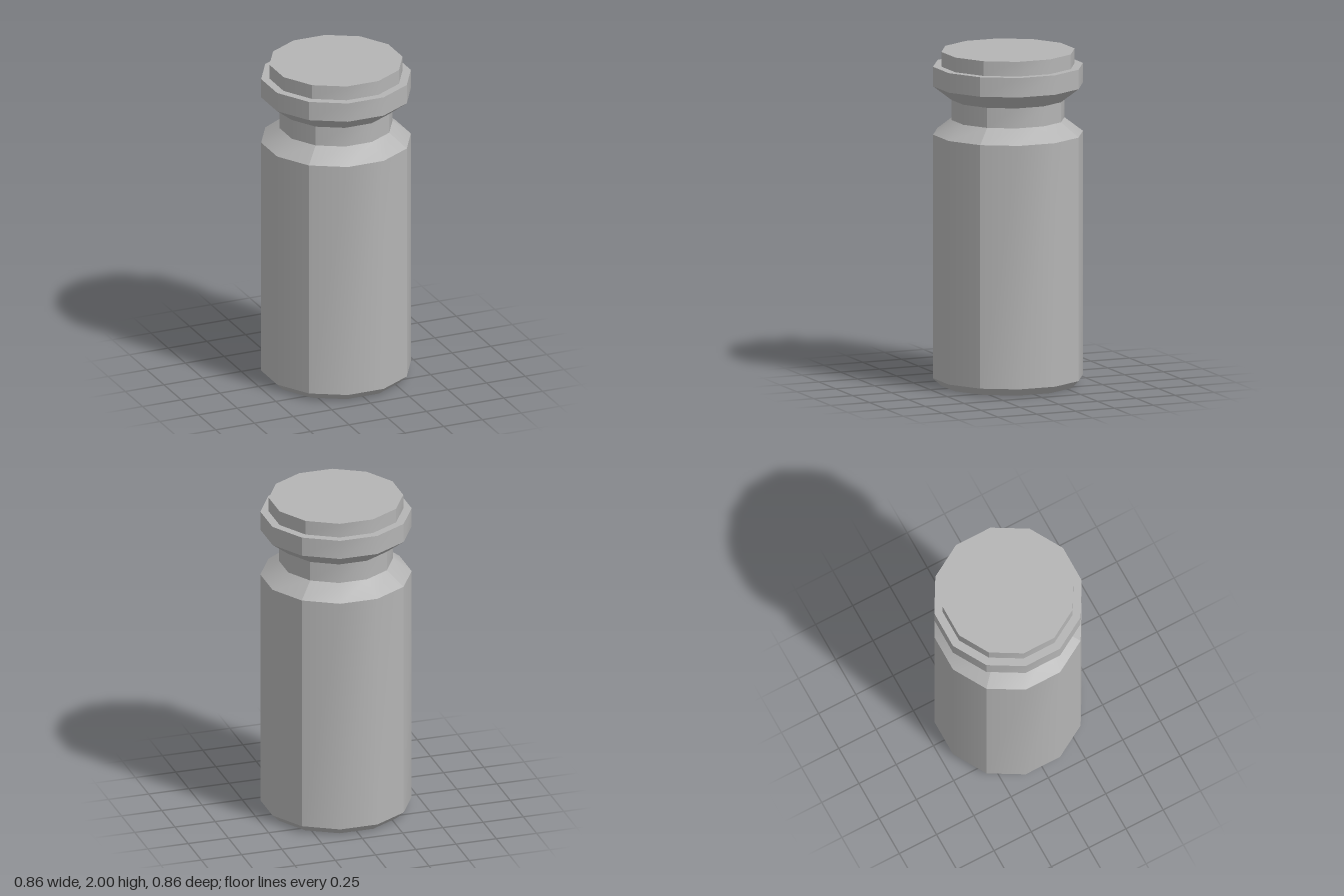
import * as THREE from 'three';

const SIDES = 12;
const CORNER = 1 / Math.cos(Math.PI / SIDES); // flat-to-flat radius -> corner radius

export function createModel() {
  const group = new THREE.Group();
  group.name = 'canister';
  const grey = new THREE.MeshStandardMaterial({ color: 0xb4b4b4 });
  grey.name = 'grey';

  // A band of the twelve-sided wall, in four softly shaded quarters with creased corners
  function band(name, y0, r0, y1, r1) {
    const part = new THREE.Group();
    part.name = name;
    for (let i = 0; i < 4; i++) {
      const geo = new THREE.CylinderGeometry(r1 * CORNER, r0 * CORNER, y1 - y0, SIDES / 4, 1, true,
        Math.PI / 4 + i * Math.PI / 2, Math.PI / 2);
      geo.computeVertexNormals();
      const mesh = new THREE.Mesh(geo, grey);
      mesh.name = name + 'Quarter';
      mesh.position.y = (y0 + y1) / 2;
      part.add(mesh);
    }
    group.add(part);
  }

  // Flat horizontal faces
  function flat(name, geo, y, up) {
    const mesh = new THREE.Mesh(geo, grey);
    mesh.name = name;
    mesh.rotation.x = up ? -Math.PI / 2 : Math.PI / 2;
    mesh.position.y = y;
    group.add(mesh);
  }

  const body = 0.432, lid = 0.384, neck = 0.325, start = Math.PI / SIDES;

  band('baseBevel', 0, 0.388, 0.045, body);
  band('body', 0.045, body, 1.505, body);
  band('shoulder', 1.505, body, 1.59, neck);
  band('neck', 1.59, neck, 1.71, neck);
  band('collarUnderside', 1.71, neck, 1.795, body);
  band('collar', 1.795, body, 1.912, body);
  band('lid', 1.912, lid, 2, lid);

  flat('base', new THREE.CircleGeometry(0.388 * CORNER, SIDES, start), 0, false);
  flat('collarLedge', new THREE.RingGeometry(lid * CORNER, body * CORNER, SIDES, 1, start), 1.912, true);
  flat('lidTop', new THREE.CircleGeometry(lid * CORNER, SIDES, start), 2, true);

  return group;
}
